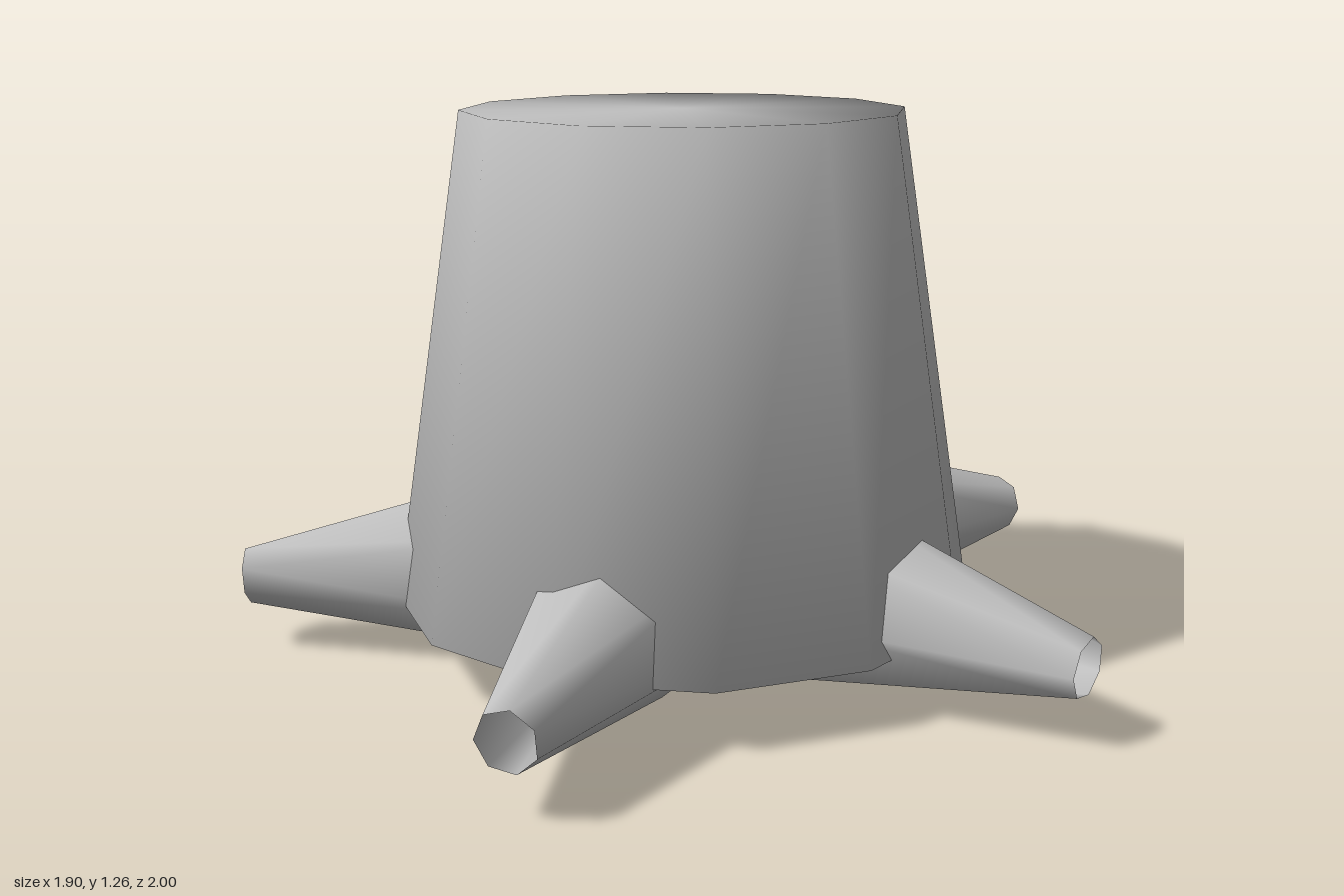
import * as THREE from 'three';
import { mergeVertices } from 'three/addons/utils/BufferGeometryUtils.js';

// Weld all seams so that the shading runs smoothly over every edge
function smooth(geometry) {
  geometry.deleteAttribute('uv');
  geometry.deleteAttribute('normal');
  const welded = mergeVertices(geometry, 1e-4);
  welded.computeVertexNormals();
  return welded;
}

export function createModel() {
  const model = new THREE.Group();
  model.name = 'treeStump';

  const grey = new THREE.MeshStandardMaterial({ color: 0xbfbfbf, side: THREE.DoubleSide });
  grey.name = 'grey';

  const stump = new THREE.Group();
  stump.name = 'stump';
  stump.position.x = -0.08;
  model.add(stump);

  // Trunk: closed, tapered, twelve sides
  const bottom = 0.155, top = 1.275;
  const trunk = new THREE.Mesh(
    smooth(new THREE.CylinderGeometry(0.5, 0.67, top - bottom, 12)), grey);
  trunk.name = 'trunk';
  trunk.position.y = (top + bottom) / 2;
  stump.add(trunk);

  // Roots: open seven-sided cones, dipping slightly outwards
  const inner = new THREE.Vector2(0.35, 0.23);
  const outer = new THREE.Vector2(1.028, 0.185);
  const axis = outer.clone().sub(inner);
  const rootGeometry = smooth(
    new THREE.CylinderGeometry(0.067, 0.225, axis.length(), 7, 1, true, -1.745));
  rootGeometry.rotateZ(axis.angle() - Math.PI / 2);
  rootGeometry.translate((inner.x + outer.x) / 2, (inner.y + outer.y) / 2, 0);

  for (let i = 0; i < 5; i++) {
    const root = new THREE.Mesh(rootGeometry, grey);
    root.name = 'root' + (i + 1);
    root.rotation.y = (i / 5) * Math.PI * 2;
    stump.add(root);
  }

  return model;
}
